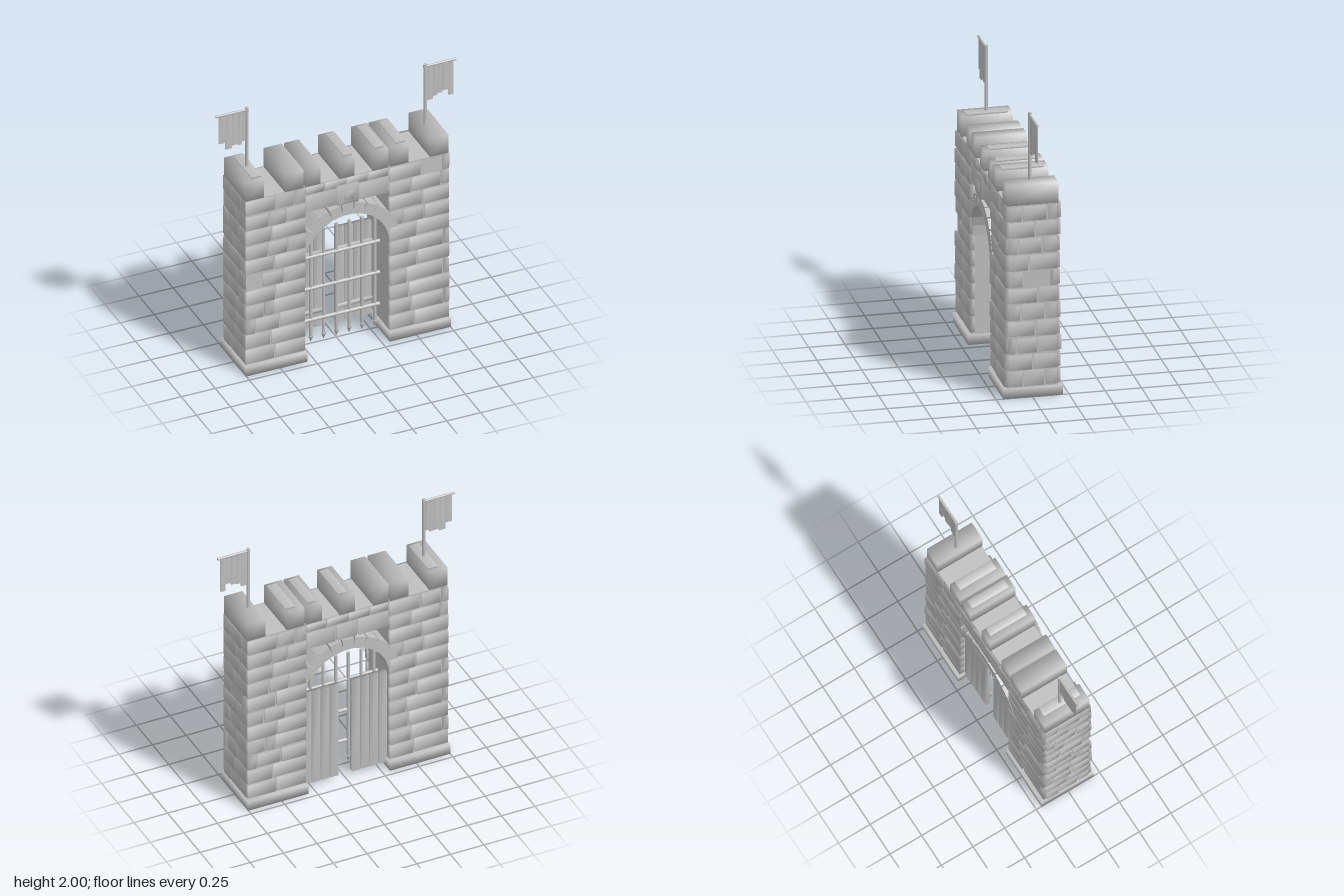
import * as THREE from 'three';
import { mergeVertices } from 'three/addons/utils/BufferGeometryUtils.js';

const stone = new THREE.MeshStandardMaterial({ color: 0xbfbfbf });
stone.name = 'grey stone';

let seed = 7;
const rnd = () => (seed = (seed * 16807) % 2147483647) / 2147483647;

// Box given by its limits; soft boxes share corner normals
function box(parent, name, [x0, x1], [y0, y1], [z0, z1], soft = true) {
  let geo = new THREE.BoxGeometry(x1 - x0, y1 - y0, z1 - z0);
  if (soft) {
    geo.deleteAttribute('normal');
    geo.deleteAttribute('uv');
    geo = mergeVertices(geo);
    geo.computeVertexNormals();
  }
  const mesh = new THREE.Mesh(geo, stone);
  mesh.name = name;
  mesh.position.set((x0 + x1) / 2, (y0 + y1) / 2, (z0 + z1) / 2);
  parent.add(mesh);
  return mesh;
}

function rod(parent, name, r, length, x, y, z, horizontal = false) {
  const mesh = new THREE.Mesh(new THREE.CylinderGeometry(r, r, length, 8), stone);
  mesh.name = name;
  mesh.position.set(x, y, z);
  if (horizontal) mesh.rotation.z = Math.PI / 2;
  parent.add(mesh);
}

const BOTTOM = 0.075, TOP = 1.375;

// Courses from top to bottom: each lists the joints as fractions of the width;
// gaps are "course:brick" keys where the plain wall shows
function brickWall(parent, name, width, courses, gaps = []) {
  const wall = new THREE.Group();
  wall.name = name;
  const pitch = (TOP - BOTTOM) / courses.length;
  courses.forEach((joints, row) => {
    const edges = [0, ...joints, 1];
    const top = TOP - row * pitch;
    for (let i = 0; i + 1 < edges.length; i++) {
      if (gaps.includes(`${row}:${i}`)) continue;
      const x0 = (edges[i] - 0.5) * width + (i ? 0.007 : 0);
      const x1 = (edges[i + 1] - 0.5) * width - (i + 2 < edges.length ? 0.007 : 0);
      box(wall, 'brick', [x0, x1],
        [top - pitch + 0.005 + rnd() * 0.006, top - 0.002 - rnd() * 0.008],
        [-0.02, 0.014 + rnd() * 0.012]);
    }
  });
  parent.add(wall);
  return wall;
}

const rightFront = [[0.5, 0.82], [0.39, 0.67], [0.43], [0.36, 0.7], [0.48], [0.27, 0.63],
  [0.5], [0.3, 0.47], [0.15, 0.57], [0.42], [0.49]];
const leftFront = [[0.53, 0.88], [0.36, 0.86], [0.55], [0.22, 0.58], [0.45], [0.32, 0.9],
  [0.46], [0.28, 0.9], [0.32], [0.36, 0.9], [0.41]];
const sideCourses = [[0.28, 0.8], [0.55], [0.2, 0.7], [0.42], [0.3, 0.85], [0.6],
  [0.25, 0.75], [0.56], [0.15, 0.6], [0.5], [0.3, 0.75]];

function tower(side) {
  const g = new THREE.Group();
  g.name = side > 0 ? 'leftTower' : 'rightTower';
  const cx = side * 0.5275;
  box(g, 'towerCore', [cx - 0.2125, cx + 0.2125], [0.05, TOP], [-0.175, 0.17], false);
  box(g, 'towerFoot', [cx - 0.225, cx + 0.225], [0, 0.07], [-0.21, 0.2]);
  const front = brickWall(g, 'frontBricks', 0.43, side > 0 ? leftFront : rightFront,
    side > 0 ? ['0:1'] : ['5:0']);
  front.position.set(cx, 0, 0.168);
  const back = brickWall(g, 'backBricks', 0.43, side > 0 ? rightFront : leftFront);
  back.position.set(cx, 0, -0.175);
  back.rotation.y = Math.PI;
  const outer = brickWall(g, 'sideBricks', 0.33, sideCourses, side > 0 ? ['4:1'] : []);
  outer.position.set(side * 0.732, 0, -0.003);
  outer.rotation.y = side * Math.PI / 2;
  return g;
}

function gateway() {
  const g = new THREE.Group();
  g.name = 'gateway';
  // Lintel with two courses of bricks on both faces
  box(g, 'lintel', [-0.32, 0.32], [1.18, TOP], [-0.17, 0.165], false);
  const upper = [-0.305, -0.165, -0.005, 0.155, 0.305];
  const lower = [-0.305, -0.075, 0.085, 0.305];
  for (const [z0, z1] of [[0.15, 0.18], [-0.188, -0.155]]) {
    for (const [edges, y] of [[upper, [1.315, 1.37]], [lower, [1.178, 1.303]]])
      for (let i = 0; i + 1 < edges.length; i++)
        box(g, 'lintelBrick', [edges[i] + 0.006, edges[i + 1] - 0.006], y, [z0, z1]);
  }
  box(g, 'keyPlate', [-0.08, 0.075], [1.18, 1.33], [0.14, 0.2]);
  box(g, 'keyBoss', [-0.033, 0.033], [1.22, 1.29], [0.18, 0.213]);

  // Arch of straight blocks, leaving small wedge gaps on the outside
  const arch = new THREE.Group();
  arch.name = 'arch';
  const count = 13, rIn = 0.305, rOut = 0.39;
  for (let i = 0; i < count; i++) {
    const a = (i / (count - 1)) * (Math.PI - 0.24) + 0.12;
    const half = 0.0385;
    const front = i > count - 3 ? 0.17 : 0.19;
    const rear = i < 2 ? -0.17 : -0.195;
    const s = new THREE.Shape([
      new THREE.Vector2(-half, rIn), new THREE.Vector2(half, rIn),
      new THREE.Vector2(half + 0.004, rOut), new THREE.Vector2(-half - 0.004, rOut)]);
    const geo = new THREE.ExtrudeGeometry(s, { depth: front - rear, bevelEnabled: false });
    const mesh = new THREE.Mesh(geo, stone);
    mesh.name = 'archStone';
    mesh.position.set(0, 0.78, rear);
    mesh.rotation.z = a - Math.PI / 2;
    arch.add(mesh);
  }
  g.add(arch);
  return g;
}

function portcullis() {
  const g = new THREE.Group();
  g.name = 'portcullis';
  for (let i = -3; i <= 3; i++) {
    const x = i * 0.094;
    rod(g, 'verticalBar', 0.012, 0.85, x, 0.485, 0);
    const tip = new THREE.Mesh(new THREE.ConeGeometry(0.019, 0.05, 8), stone);
    tip.name = 'barTip';
    tip.position.set(x, 0.036, 0);
    tip.rotation.x = Math.PI;
    g.add(tip);
  }
  for (const y of [0.19, 0.44, 0.69]) rod(g, 'crossBar', 0.013, 0.63, 0, y, 0.005, true);
  return g;
}

function doors() {
  const g = new THREE.Group();
  g.name = 'doors';
  for (const side of [-1, 1]) {
    for (let i = 0; i < 4; i++) {
      const x = side * (0.08 + i * 0.067);
      box(g, 'doorPlank', [x - 0.03, x + 0.03], [0.035, 0.785], [-0.15, -0.12]);
    }
    for (const y of [0.17, 0.63])
      box(g, 'doorBrace', side > 0 ? [0.05, 0.31] : [-0.31, -0.05], [y - 0.014, y + 0.014], [-0.122, -0.1]);
  }
  return g;
}

function battlements() {
  const g = new THREE.Group();
  g.name = 'battlements';
  for (const [a, b] of [[-0.745, -0.61], [-0.455, -0.32], [-0.305, -0.195], [-0.055, 0.055],
    [0.19, 0.305], [0.318, 0.45], [0.61, 0.745]])
    box(g, 'merlon', [a, b], [TOP, 1.52], [-0.18, 0.175]);
  for (const [a, b] of [[-0.685, -0.615], [-0.01, 0.053], [0.22, 0.283], [0.375, 0.445]])
    box(g, 'merlonCap', [a, b], [1.51, 1.535], [-0.148, 0.138]);
  return g;
}

// Ragged banner: strip widths and lower ends run outward from the pole
function flag(side, widths, ends) {
  const g = new THREE.Group();
  g.name = side > 0 ? 'leftFlag' : 'rightFlag';
  rod(g, 'flagPole', 0.012, 0.5, side * 0.654, 1.75, -0.005);
  rod(g, 'flagBar', 0.009, 0.24, side * 0.762, 1.982, -0.005, true);
  let x = 0.667;
  widths.forEach((w, i) => {
    const span = [side * x, side * (x + w)].sort((p, q) => p - q);
    const z = i % 2 ? -0.003 : -0.007;
    box(g, 'flagStrip', span, [ends[i], 1.98], [z - 0.005, z + 0.005]);
    x += w;
  });
  return g;
}

export function createModel() {
  const model = new THREE.Group();
  model.name = 'castleGate';
  model.add(tower(1), tower(-1), gateway(), portcullis(), doors(), battlements(),
    flag(1, [0.043, 0.032, 0.04, 0.042, 0.038], [1.71, 1.735, 1.745, 1.76, 1.71]),
    flag(-1, [0.027, 0.027, 0.045, 0.048, 0.047], [1.74, 1.72, 1.725, 1.708, 1.76]));
  return model;
}
